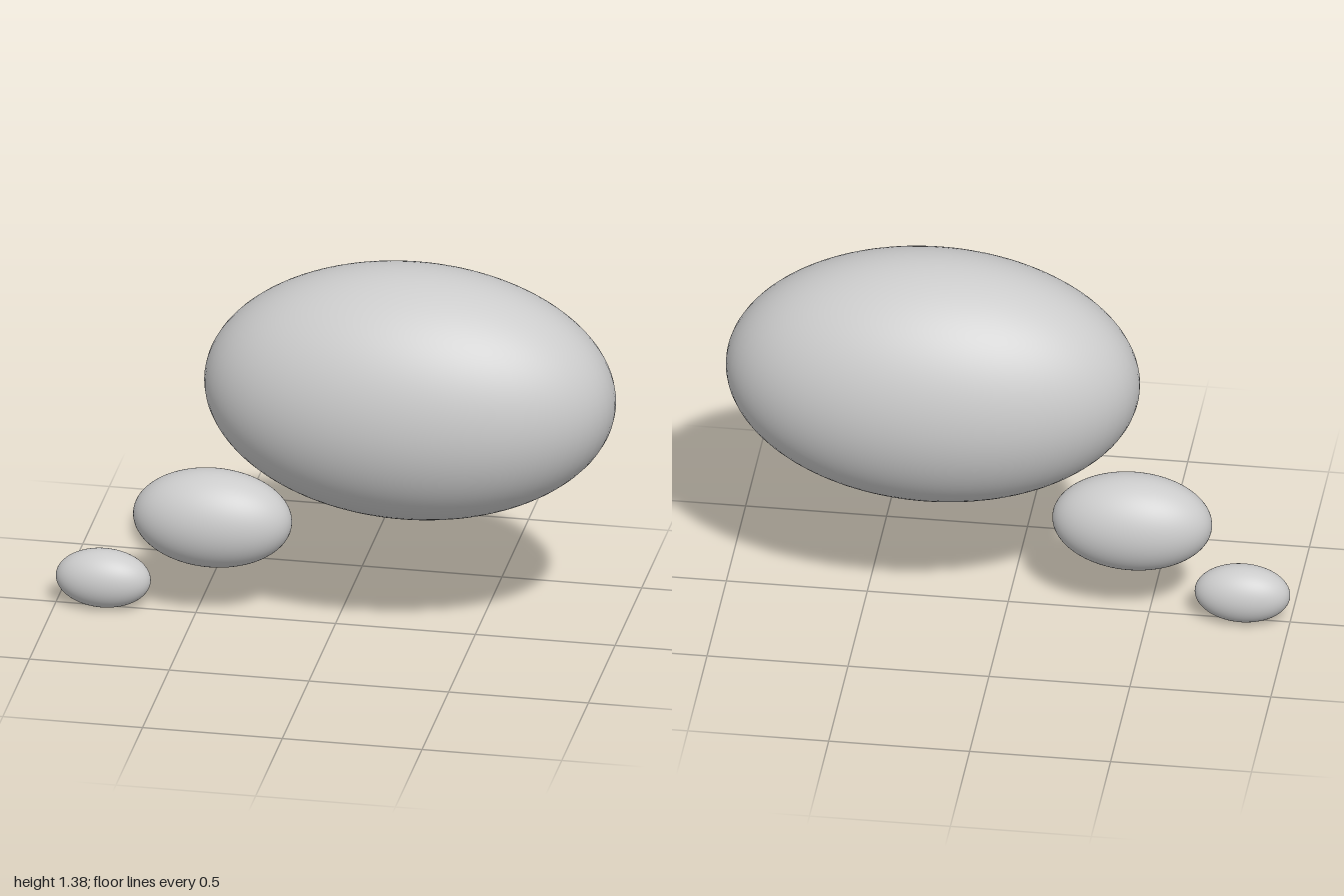
import * as THREE from 'three';

// name, centre x, centre y, half length along x
const BUBBLES = [
  ['smallBubble', -0.831, 0.107, 0.169],
  ['middleBubble', -0.44, 0.372, 0.283],
  ['largeBubble', 0.267, 0.922, 0.733],
];

export function createModel() {
  const group = new THREE.Group();
  group.name = 'thoughtBubbles';
  const material = new THREE.MeshStandardMaterial({ color: 0xcccccc });
  const sphere = new THREE.SphereGeometry(1, 64, 48);

  // Three ellipsoids of the same proportions, rising and growing towards +x
  for (const [name, x, y, radius] of BUBBLES) {
    const bubble = new THREE.Mesh(sphere, material);
    bubble.name = name;
    bubble.position.set(x, y, 0);
    bubble.scale.set(radius, radius * 0.631, radius * 0.563);
    group.add(bubble);
  }
  return group;
}
